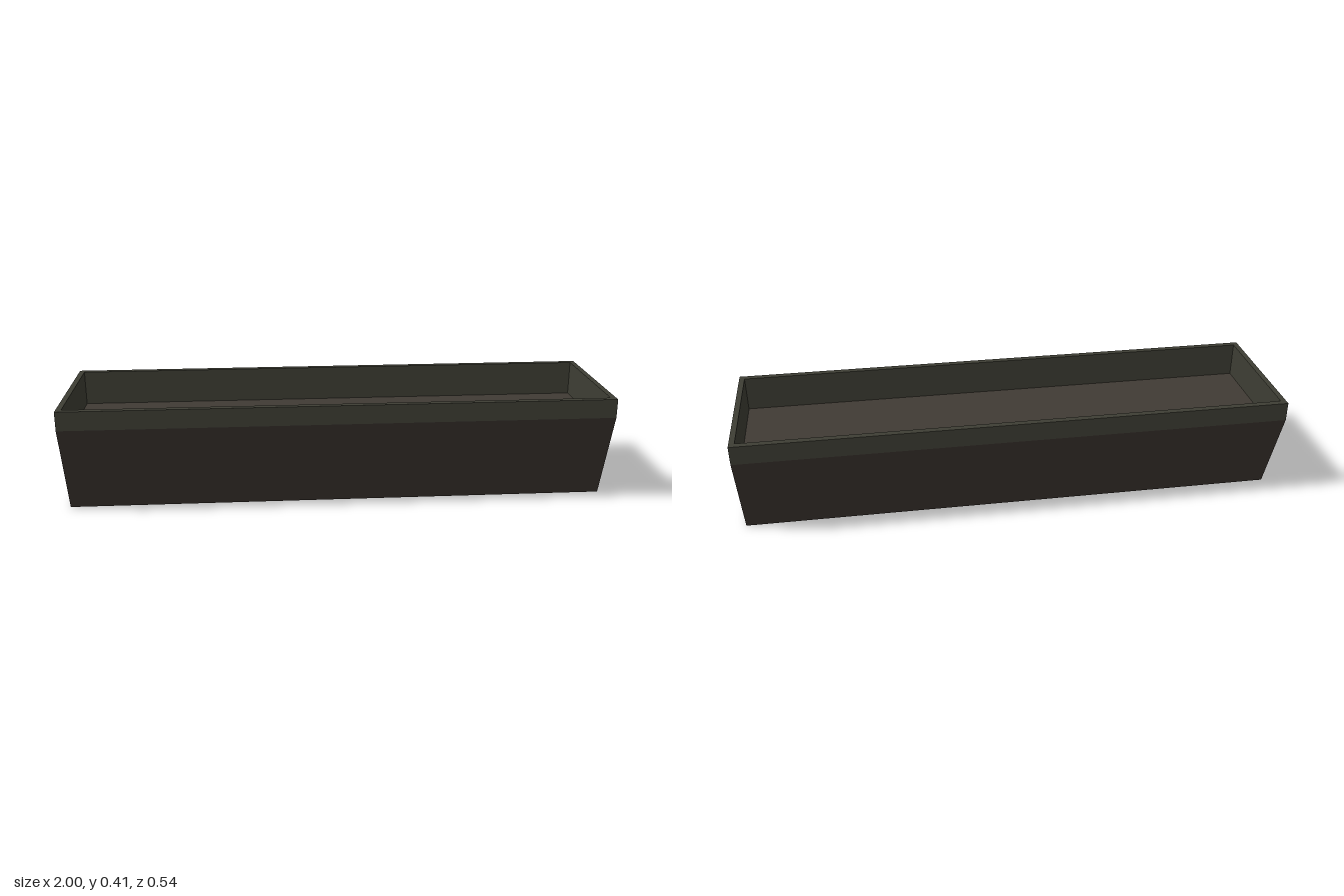
import * as THREE from 'three';

const rim = new THREE.MeshStandardMaterial({ color: 0x3e3e34 });
rim.name = 'olive rim';
const body = new THREE.MeshStandardMaterial({ color: 0x3f3732 });
body.name = 'dark brown body';
const plain = new THREE.MeshStandardMaterial({ color: 0x403b34 });
plain.name = 'grey brown ends and floor';
const materials = [rim, body, plain];

const HALF = 1, WALL = 0.02, HEIGHT = 0.41, FLOOR = 0.28, INNER = 0.245;

// Sloping outer walls with an upright band at the top
const outer = [[-0.268, HEIGHT], [-0.268, 0.34], [-0.145, 0], [0.145, 0], [0.268, 0.34], [0.268, HEIGHT]];
// The shallow recess cut into the middle
const recess = [[INNER, HEIGHT], [INNER, FLOOR], [-INNER, FLOOR], [-INNER, HEIGHT]];

// Extrude a cross-section along x and colour each face by its direction
function profileMesh(name, points, x0, x1) {
  const shape = new THREE.Shape(points.map(p => new THREE.Vector2(...p)));
  const geo = new THREE.ExtrudeGeometry(shape, { depth: x1 - x0, bevelEnabled: false });
  geo.rotateY(Math.PI / 2).translate(x0, 0, 0);
  geo.clearGroups();
  const n = geo.attributes.normal, p = geo.attributes.position;
  for (let i = 0; i < p.count; i += 3) {
    let m = 0;
    if (Math.abs(n.getX(i)) > 0.5) m = Math.abs(p.getX(i)) > HALF - 0.001 ? 2 : 0;
    else if (n.getY(i) < -0.1) m = 1;
    else if (n.getY(i) > 0.5 && p.getY(i) < 0.3) m = 2;
    geo.addGroup(i, 3, m);
  }
  const mesh = new THREE.Mesh(geo, materials);
  mesh.name = name;
  return mesh;
}

export function createModel() {
  const group = new THREE.Group();
  group.name = 'trough';
  group.add(profileMesh('troughBody', [...outer, ...recess], -HALF + WALL, HALF - WALL));
  group.add(profileMesh('rightEndWall', outer, -HALF, -HALF + WALL));
  group.add(profileMesh('leftEndWall', outer, HALF - WALL, HALF));
  return group;
}
